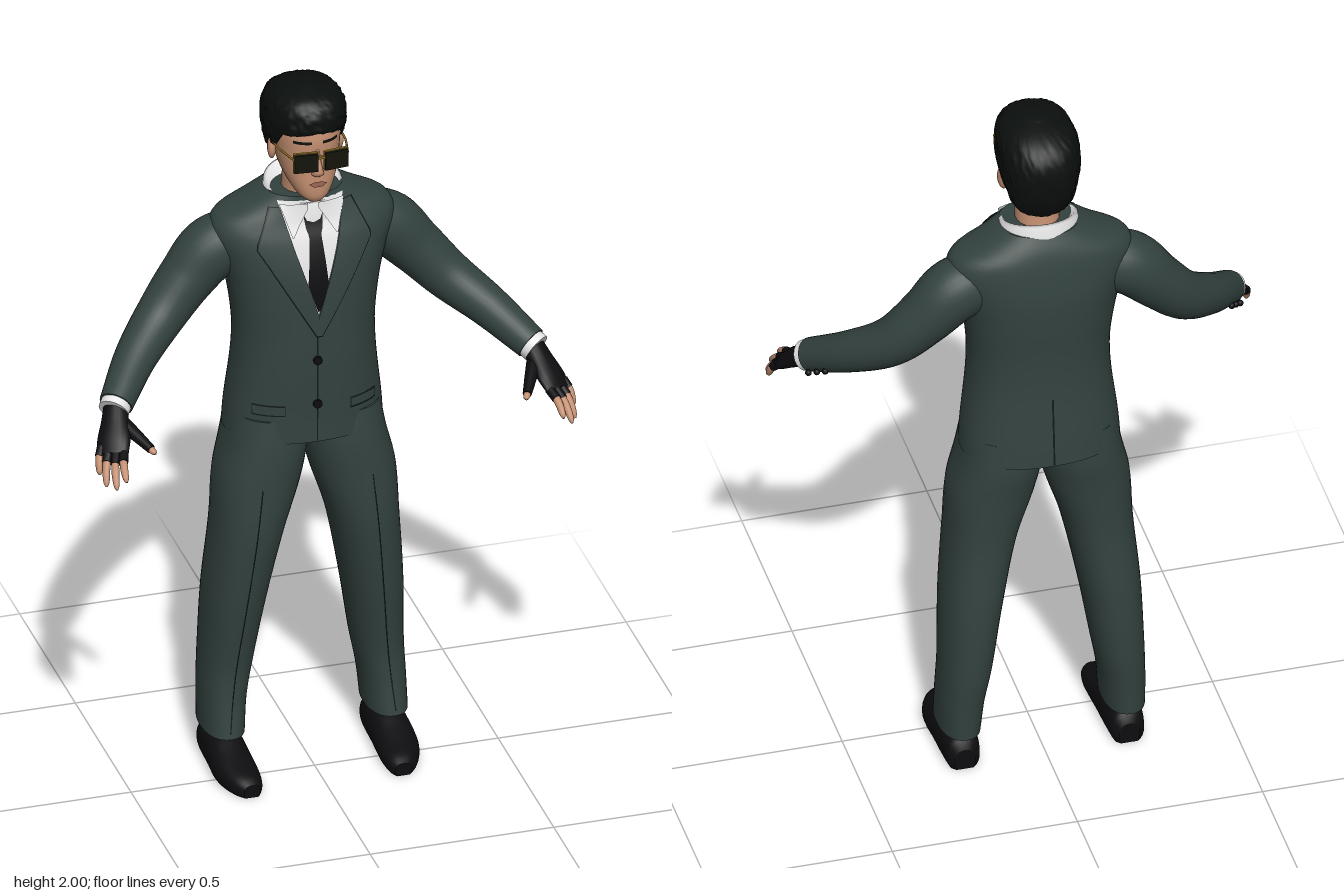
import * as THREE from 'three';

const V = (x, y, z) => new THREE.Vector3(x, y, z);
const colour = (name, color, side = THREE.FrontSide) =>
  Object.assign(new THREE.MeshStandardMaterial({ color, side }), { name });

// Skin a list of rings (or open rows) with quads, with optional end caps
function loft(rings, closed = true, caps = closed) {
  const n = rings[0].length, pos = [], idx = [];
  const add = p => pos.push(p.x, p.y, p.z) / 3 - 1;
  rings.forEach(r => r.forEach(add));
  for (let i = 0; i < rings.length - 1; i++)
    for (let j = 0; j < (closed ? n : n - 1); j++) {
      const k = (j + 1) % n, a = i * n + j, b = i * n + k;
      idx.push(a, b, a + n, b, b + n, a + n);
    }
  if (caps) [rings[0], rings[rings.length - 1]].forEach((ring, end) => {
    const mid = add(ring.reduce((s, p) => s.add(p), V(0, 0, 0)).divideScalar(n));
    const first = ring.map(add)[0];
    for (let j = 0; j < n; j++) {
      const a = first + j, b = first + (j + 1) % n;
      idx.push(mid, end ? a : b, end ? b : a);
    }
  });
  const g = new THREE.BufferGeometry();
  g.setAttribute('position', new THREE.Float32BufferAttribute(pos, 3));
  g.setIndex(idx);
  g.computeVertexNormals();
  return g;
}

// Smooth and straight lookups in a table whose first column is the key
function at(rows, y) {
  let i = 0;
  while (i < rows.length - 2 && y > rows[i + 1][0]) i++;
  const slope = (k, c) => {
    const a = rows[Math.max(k - 1, 0)], b = rows[Math.min(k + 1, rows.length - 1)];
    return (b[c] - a[c]) / (b[0] - a[0]);
  };
  const p = rows[i], q = rows[i + 1], h = q[0] - p[0], t = THREE.MathUtils.clamp((y - p[0]) / h, 0, 1);
  return p.map((v, c) => (2 * t ** 3 - 3 * t * t + 1) * v + (t ** 3 - 2 * t * t + t) * h * slope(i, c)
    + (3 * t * t - 2 * t ** 3) * q[c] + (t ** 3 - t * t) * h * slope(i + 1, c));
}
const line = (...pts) => y => {
  let i = 0;
  while (i < pts.length - 2 && y > pts[i + 1][0]) i++;
  return THREE.MathUtils.mapLinear(y, pts[i][0], pts[i + 1][0], pts[i][1], pts[i + 1][1]);
};

// Bodies are stacked superellipses: [y, centre x, half width, centre z, half depth]
const N = 2.3, pw = v => Math.sign(v) * Math.abs(v) ** (2 / N);
const onBody = (rows, y, a, s = 1) => {
  const [, xc, hw, zc, hd] = at(rows, y);
  return V(xc + s * hw * pw(Math.sin(a)), y, zc + s * hd * pw(Math.cos(a)));
};
const steps = (n, f) => Array.from({ length: n + 1 }, (_, i) => f(i / n));
const around = (n, f) => Array.from({ length: n }, (_, j) => f(j / n * Math.PI * 2));
const body = (rows, n = 40, segs = 40) => loft(steps(n, t => {
  const y = THREE.MathUtils.lerp(rows[0][0], rows[rows.length - 1][0], t);
  return around(segs, a => onBody(rows, y, a));
}));

// Thin panel lying on the front (or back) of a body between two edges
function panel(rows, y0, y1, left, right, off, back = false) {
  return loft(steps(24, t => {
    const y = THREE.MathUtils.lerp(y0, y1, t), [, xc, hw, zc, hd] = at(rows, y);
    return steps(8, u => {
      const x = THREE.MathUtils.lerp(left(y), right(y), back ? 1 - u : u);
      const k = Math.min(Math.abs((x - xc) / hw), 0.98);
      const d = hd * (1 - k ** N) ** (1 / N) + off;
      return V(x, y, back ? zc - d : zc + d);
    });
  }), false);
}

// Tapered limb through points [x, y, z, radius along ref, other radius]
function limb(pts, ref = V(0, 0, 1), n = 16, segs = 18) {
  const curve = new THREE.CatmullRomCurve3(pts.map(p => V(p[0], p[1], p[2])));
  const radii = pts.map((p, i) => [i / (pts.length - 1), p[3], p[4] ?? p[3]]);
  return loft(steps(n, t => {
    const c = curve.getPoint(t), T = curve.getTangent(t), [, ra, rb] = at(radii, t);
    const A = ref.clone().addScaledVector(T, -ref.dot(T)).normalize(), B = T.clone().cross(A);
    return around(segs, a => c.clone().addScaledVector(A, ra * Math.cos(a)).addScaledVector(B, rb * Math.sin(a)));
  }));
}

function mirrored(geo) {
  const g = geo.clone().scale(-1, 1, 1), ix = g.index.array;
  for (let i = 0; i < ix.length; i += 3) [ix[i], ix[i + 1]] = [ix[i + 1], ix[i]];
  return g;
}

export function createModel() {
  const model = new THREE.Group();
  model.name = 'suitedMan';
  const suit = colour('suit cloth', 0x33423f), seam = colour('seam', 0x121918, THREE.DoubleSide);
  const white = colour('shirt white', 0xe6e6e6, THREE.DoubleSide), black = colour('black leather', 0x0d0d10);
  const hairMat = colour('hair', 0x0b0f0e, THREE.DoubleSide), skin = colour('skin', 0xc28e70);
  const lip = colour('lips', 0x9c6552), gold = colour('gold frame', 0x8a6a24), lens = colour('lens', 0x14140c);
  const put = (name, geo, mat) => {
    const m = new THREE.Mesh(geo, mat);
    m.name = name;
    model.add(m);
  };
  const pair = (name, geo, mat) => {
    put(name + 'Left', geo, mat);
    put(name + 'Right', mirrored(geo), mat);
  };

  // Jacket
  const torso = [[0.985, 0, 0.213, -0.115, 0.152], [1.05, 0, 0.208, -0.113, 0.15], [1.2, 0, 0.191, -0.105, 0.145],
    [1.3, 0, 0.189, -0.105, 0.143], [1.42, 0, 0.205, -0.11, 0.143], [1.5, 0, 0.226, -0.115, 0.138],
    [1.57, 0, 0.248, -0.12, 0.124], [1.615, 0, 0.232, -0.125, 0.11], [1.65, 0, 0.165, -0.123, 0.1],
    [1.685, 0, 0.105, -0.115, 0.088]];
  put('jacket', body(torso, 70, 56), suit);
  const inner = line([1.36, 0], [1.55, 0.058], [1.67, 0.088]);
  const outer = line([1.3, 0.004], [1.51, 0.125], [1.565, 0.158], [1.57, 0.15], [1.67, 0.105]);
  const inside = y => Math.max(inner(y), 0);
  pair('lapelEdge', panel(torso, 1.3, 1.66, inside, y => outer(y) + 0.004, 0.008), seam);
  pair('lapel', panel(torso, 1.305, 1.66, inside, outer, 0.011), suit);
  put('frontClosure', panel(torso, 0.99, 1.32, () => -0.006, () => -0.002, 0.003), seam);
  put('backVent', panel(torso, 0.99, 1.19, () => -0.003, () => 0.002, 0.003, true), seam);
  pair('pocketEdge', panel(torso, 1.068, 1.1, () => 0.088, () => 0.168, 0.003), seam);
  pair('pocketFlap', panel(torso, 1.073, 1.097, () => 0.09, () => 0.167, 0.006), suit);
  for (const y of [1.1, 1.23]) {
    const [, , , zc, hd] = at(torso, y);
    put('jacketButton', new THREE.CylinderGeometry(0.012, 0.012, 0.008, 16).rotateX(Math.PI / 2).translate(-0.004, y, zc + hd + 0.004), black);
  }

  // Shirt, collar and tie
  put('shirtFront', panel(torso, 1.365, 1.675, y => -inside(y), inside, 0.004), white);
  const tieHalf = line([1.375, 0.003], [1.45, 0.028], [1.585, 0.016], [1.595, 0.022], [1.645, 0.027]);
  put('tie', panel(torso, 1.375, 1.645, y => -tieHalf(y), tieHalf, 0.008), black);
  pair('collarWing', panel(torso, 1.585, 1.67, line([1.585, 0.058], [1.655, 0.014], [1.67, 0.014]),
    line([1.585, 0.062], [1.67, 0.088]), 0.014), white);
  put('collar', loft([[1.15, -0.05], [1.06, 0], [0.97, 0.003], [0.6, -0.04]].map(([s, d]) =>
    around(40, a => V(0.098 * s * Math.sin(a), 1.69 - 0.025 * Math.cos(a) + d, -0.108 + 0.088 * s * Math.cos(a)))), true, false), white);

  // Sleeves and cuffs
  pair('sleeve', limb([[0.15, 1.535, -0.13, 0.075, 0.08], [0.235, 1.51, -0.137, 0.082, 0.086], [0.31, 1.435, -0.13, 0.075],
    [0.39, 1.35, -0.1, 0.066], [0.48, 1.28, -0.025, 0.056], [0.565, 1.21, 0.08, 0.045]], V(0, 0, 1), 36, 28), suit);
  pair('shirtCuff', limb([[0.55, 1.222, 0.062, 0.041], [0.576, 1.2, 0.094, 0.041]], V(0, 0, 1), 2), white);
  for (let i = 0; i < 3; i++)
    pair('cuffButton', new THREE.SphereGeometry(0.009, 10, 8).translate(0.583 - i * 0.017, 1.19 + i * 0.014, 0.03 - i * 0.021), black);

  // Fingerless gloves and fingers
  const spread = V(0.7, 0.05, -0.7);
  pair('glove', limb([[0.565, 1.21, 0.08, 0.032, 0.029], [0.58, 1.18, 0.12, 0.037, 0.026],
    [0.595, 1.15, 0.16, 0.045, 0.022], [0.606, 1.124, 0.19, 0.042, 0.015]], spread), black);
  [[0.595, 1.085, 0.277], [0.62, 1.064, 0.272], [0.638, 1.058, 0.238], [0.645, 1.075, 0.2]].forEach((tip, i) => {
    const base = V(0.58, 1.132, 0.198).lerp(V(0.628, 1.135, 0.16), i / 3), end = V(...tip);
    const on = (t, r) => [...base.clone().lerp(end, t).add(V(0.004, 0.006, 0).multiplyScalar(Math.sin(t * Math.PI))), r];
    pair('gloveFinger', limb([on(0, 0.013), on(0.4, 0.0125)], spread, 4, 12), black);
    pair('finger', limb([on(0.36, 0.0105), on(0.6, 0.0105), on(0.9, 0.008), on(1, 0.003)], spread, 10, 12), skin);
  });
  pair('gloveThumb', limb([[0.568, 1.18, 0.11, 0.022], [0.54, 1.162, 0.165, 0.017], [0.512, 1.142, 0.222, 0.012]], spread, 10, 12), black);
  pair('thumbTip', limb([[0.516, 1.144, 0.214, 0.01], [0.507, 1.137, 0.232, 0.008], [0.505, 1.135, 0.238, 0.003]], spread, 6, 12), skin);

  // Trousers and shoes
  const leg = [[0.105, 0.222, 0.056, -0.115, 0.104], [0.2, 0.217, 0.06, -0.125, 0.101], [0.3, 0.206, 0.067, -0.13, 0.105],
    [0.5, 0.186, 0.08, -0.115, 0.12], [0.7, 0.157, 0.093, -0.098, 0.127], [0.85, 0.129, 0.112, -0.101, 0.132],
    [0.95, 0.108, 0.11, -0.107, 0.137], [1.05, 0.1, 0.1, -0.11, 0.13]];
  pair('trouserLeg', body(leg, 50, 36), suit);
  const crease = line([0.12, 0.225], [0.86, 0.15]);
  pair('trouserCrease', panel(leg, 0.12, 0.86, y => crease(y) - 0.0018, y => crease(y) + 0.0018, 0.003), seam);
  pair('ankle', new THREE.CylinderGeometry(0.04, 0.04, 0.08, 20).translate(0.222, 0.1, -0.13), skin);
  const shoe = [[-0.2, 0.222, 0.028, 0.06], [-0.19, 0.222, 0.042, 0.085], [-0.13, 0.222, 0.05, 0.108], [-0.06, 0.222, 0.053, 0.1],
    [0, 0.222, 0.056, 0.078], [0.05, 0.218, 0.053, 0.062], [0.1, 0.21, 0.038, 0.048], [0.12, 0.206, 0.022, 0.036]];
  pair('shoe', loft(steps(28, t => {
    const [z, xc, hw, h] = at(shoe, -0.2 + 0.32 * t);
    return around(28, a => V(xc + hw * pw(Math.cos(a)), Math.max(0, h * (0.4 + 0.6 * pw(Math.sin(a)))), z));
  })), black);

  // Head and neck
  const head = [[1.69, 0, 0.022, -0.01, 0.028], [1.705, 0, 0.042, -0.025, 0.052], [1.74, 0, 0.063, -0.05, 0.08],
    [1.78, 0, 0.077, -0.075, 0.103], [1.83, 0, 0.086, -0.088, 0.114], [1.88, 0, 0.088, -0.093, 0.118],
    [1.94, 0, 0.076, -0.095, 0.1], [1.98, 0, 0.035, -0.095, 0.05]];
  put('head', body(head), skin);
  put('neck', limb([[0, 1.6, -0.115, 0.062], [0, 1.68, -0.1, 0.059], [0, 1.77, -0.09, 0.058]]), skin);
  put('nose', body([[1.768, 0, 0.006, 0.02, 0.008], [1.778, 0, 0.017, 0.024, 0.02], [1.79, 0, 0.014, 0.024, 0.025],
    [1.82, 0, 0.009, 0.021, 0.017], [1.85, 0, 0.006, 0.017, 0.01]], 16, 20), skin);
  const mouth = line([1.742, 0.012], [1.75, 0.025], [1.757, 0.01]);
  put('lips', panel(head, 1.742, 1.757, y => -mouth(y), mouth, 0.005), lip);
  pair('eyebrow', panel(head, 1.866, 1.874, () => 0.015, () => 0.06, 0.003), hairMat);
  pair('ear', new THREE.SphereGeometry(1, 16, 12).scale(0.012, 0.033, 0.021).rotateY(0.3).translate(0.09, 1.812, -0.088), skin);

  // Hair, with a hairline that drops from the forehead to the nape
  const hair = [[1.735, 0, 0.068, -0.125, 0.062], [1.78, 0, 0.088, -0.125, 0.09], [1.85, 0, 0.102, -0.112, 0.122],
    [1.9, 0, 0.106, -0.1, 0.136], [1.95, 0, 0.099, -0.09, 0.124], [1.98, 0, 0.072, -0.08, 0.088], [1.998, 0, 0.018, -0.075, 0.022]];
  const hairline = line([0, 1.9], [50, 1.888], [62, 1.835], [70, 1.83], [78, 1.845], [90, 1.835], [105, 1.79], [135, 1.755], [180, 1.742]);
  let seed = 7;
  const rand = () => (seed = (seed * 16807) % 2147483647) / 2147483647;
  put('hair', loft([-1, ...steps(18, t => t)].map(t => around(80, a => {
    const deg = Math.abs(THREE.MathUtils.radToDeg(a > Math.PI ? a - 2 * Math.PI : a));
    const y = THREE.MathUtils.lerp(hairline(deg), 1.995, Math.sin(Math.max(t, 0) * Math.PI / 2));
    return onBody(hair, y, a, t < 0 ? 0.8 : 0.98 + 0.05 * rand());
  })), true, false), hairMat);
  put('hairCrown', new THREE.SphereGeometry(1, 20, 10).scale(0.05, 0.02, 0.06).translate(0, 1.979, -0.077), hairMat);

  // Sunglasses
  pair('lensFrame', new THREE.BoxGeometry(0.067, 0.056, 0.008).rotateY(0.1).translate(0.041, 1.833, 0.056), gold);
  pair('lens', new THREE.BoxGeometry(0.063, 0.051, 0.012).rotateY(0.1).translate(0.041, 1.833, 0.061), lens);
  put('bridge', new THREE.BoxGeometry(0.03, 0.007, 0.008).translate(0, 1.845, 0.062), gold);
  pair('temple', limb([[0.074, 1.845, 0.055, 0.003], [0.09, 1.842, -0.02, 0.003], [0.094, 1.838, -0.085, 0.003]], V(0, 1, 0), 8, 8), gold);
  return model;
}
